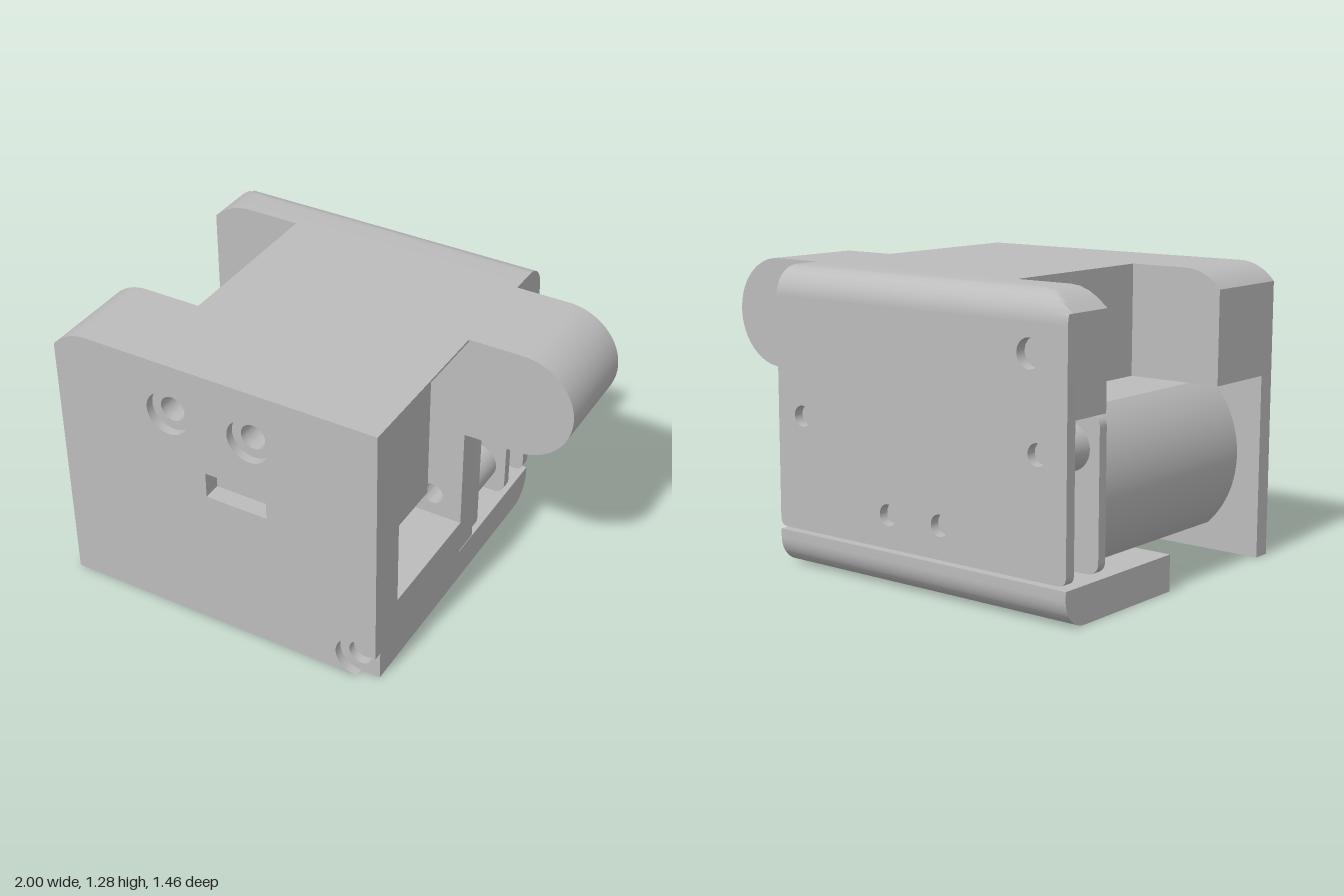
import * as THREE from 'three';
import { toCreasedNormals } from 'three/addons/utils/BufferGeometryUtils.js';

export function createModel() {
  const model = new THREE.Group();
  const grey = new THREE.MeshStandardMaterial({ color: 0xbcbcbc });
  grey.name = 'housing grey';

  function add(name, geometry) {
    const mesh = new THREE.Mesh(toCreasedNormals(geometry, 0.6), grey);
    mesh.name = name;
    model.add(mesh);
    return mesh;
  }
  // Box from its limits on each axis
  function box(name, x0, x1, y0, y1, z0, z1) {
    const g = new THREE.BoxGeometry(x1 - x0, y1 - y0, z1 - z0);
    g.translate((x0 + x1) / 2, (y0 + y1) / 2, (z0 + z1) / 2);
    return add(name, g);
  }
  // x-y outline extruded from z0 to z1
  function slab(name, shape, z0, z1) {
    const g = new THREE.ExtrudeGeometry(shape, { depth: z1 - z0, bevelEnabled: false, curveSegments: 20 });
    g.translate(0, 0, z0);
    return add(name, g);
  }
  // outline in (-z, y) extruded along the body width, with the top corner at -x rounded
  function beam(name, shape) {
    const g = new THREE.ExtrudeGeometry(shape, { depth: 1.52, steps: 36, bevelEnabled: false, curveSegments: 10 });
    g.rotateY(Math.PI / 2).translate(-1, 0, 0);
    const p = g.attributes.position;
    for (let i = 0; i < p.count; i++) {
      const t = Math.max(0, (-0.83 - p.getX(i)) / 0.17);
      p.setY(i, Math.min(p.getY(i), 1.28 - 0.08 * t * t));
    }
    return add(name, g);
  }
  function hole(shape, x, y, r) {
    const h = new THREE.Path();
    h.absarc(x, y, r, 0, Math.PI * 2, true);
    shape.holes.push(h);
  }
  function rod(name, x, y, r, z0, z1) {
    const g = new THREE.CylinderGeometry(r, r, z1 - z0, 32);
    g.rotateX(Math.PI / 2).translate(x, y, (z0 + z1) / 2);
    return add(name, g);
  }
  // Body outline above y0 with the rounded -x top corner
  function bodyOutline(y0, cutCorner = false) {
    const s = new THREE.Shape();
    s.moveTo(-1, y0);
    if (cutCorner) {
      s.lineTo(0.43, 0);
      s.absarc(0.43, 0.1, 0.1, -Math.PI / 2, 0.35, true);
    } else s.lineTo(0.52, y0);
    if (cutCorner) s.lineTo(0.52, 0.134);
    s.lineTo(0.52, 1.28);
    s.lineTo(-0.83, 1.28);
    s.quadraticCurveTo(-0.93, 1.28, -1, 1.2);
    s.closePath();
    return s;
  }
  // Rectangle with rounded corners
  function plateOutline(x0, x1, y0, y1, r) {
    const s = new THREE.Shape();
    s.absarc(x1 - r, y0 + r, r, -Math.PI / 2, 0);
    s.absarc(x1 - r, y1 - r, r, 0, Math.PI / 2);
    s.absarc(x0 + r, y1 - r, r, Math.PI / 2, Math.PI);
    s.absarc(x0 + r, y0 + r, r, Math.PI, Math.PI * 1.5);
    s.closePath();
    return s;
  }
  function windowCut(shape) {
    const w = new THREE.Path();
    w.moveTo(-0.28, 0.68);
    w.lineTo(-0.28, 0.8);
    w.lineTo(0.01, 0.8);
    w.lineTo(0.01, 0.68);
    w.closePath();
    shape.holes.push(w);
  }

  // Front wall: counterbored outer layer, drilled inner layer
  const outer = bodyOutline(0, true);
  const inner = bodyOutline(0);
  const upperFront = bodyOutline(0.8);
  for (const x of [-0.45, -0.065]) {
    hole(outer, x, 1.04, 0.1);
    hole(inner, x, 1.04, 0.057);
    hole(upperFront, x, 1.04, 0.057);
  }
  hole(inner, 0.43, 0.1, 0.057);
  windowCut(outer);
  windowCut(inner);
  slab('frontWallOuter', outer, 0.69, 0.73);
  slab('frontWallInner', inner, 0.65, 0.69);
  slab('upperFrontBlock', upperFront, 0.3, 0.65);

  // Side frame around the opening on the +x side
  box('sideFramePost', -0.08, 0.52, 0, 0.8, 0.545, 0.65);
  box('sideFrameSill', -0.08, 0.52, 0, 0.32, -0.03, 0.545);
  box('sideFrameLintel', -0.08, 0.52, 0.72, 0.8, 0.3, 0.545);
  const bulkhead = new THREE.Shape();
  bulkhead.moveTo(-0.08, 0.16);
  bulkhead.lineTo(0.52, 0.16);
  bulkhead.lineTo(0.52, 0.8);
  bulkhead.lineTo(-0.08, 0.8);
  bulkhead.closePath();
  hole(bulkhead, 0.38, 0.43, 0.05);
  slab('bulkhead', bulkhead, -0.155, -0.03);

  // Upper middle with a rounded pocket facing +x
  const pocket = new THREE.Shape();
  pocket.moveTo(-0.57, 0.8);
  pocket.lineTo(0.28, 0.8);
  pocket.absarc(0.28, 1.035, 0.235, -Math.PI / 2, Math.PI / 2, true);
  pocket.lineTo(0.52, 1.27);
  pocket.lineTo(0.52, 1.28);
  pocket.lineTo(-0.57, 1.28);
  pocket.closePath();
  slab('pocketBlock', pocket, -0.03, 0.3);

  // Upper block continuing into the rounded side lug
  const lug = new THREE.Shape();
  lug.moveTo(-0.57, 0.8);
  lug.lineTo(0.76, 0.8);
  lug.absarc(0.76, 1.04, 0.24, -Math.PI / 2, Math.PI / 2);
  lug.lineTo(-0.57, 1.28);
  lug.closePath();
  slab('sideLug', lug, -0.485, -0.03);

  // Rear block, rounded top edge and drilled back plate
  box('rearBlock', -1, 0.52, 0.8, 1.16, -0.68, -0.485);
  const cap = new THREE.Shape();
  cap.moveTo(0.485, 1.16);
  cap.lineTo(0.73, 1.16);
  cap.absarc(0.61, 1.16, 0.12, 0, Math.PI / 2);
  cap.lineTo(0.485, 1.28);
  cap.closePath();
  beam('rearTopEdge', cap);

  const standoffs = [[0.38, 0.66], [-0.86, 0.66], [-0.1, 0.31], [-0.375, 0.31]];
  const back = new THREE.Shape();
  back.moveTo(-0.96, 0.17);
  back.lineTo(0.48, 0.17);
  back.quadraticCurveTo(0.52, 0.17, 0.52, 0.21);
  back.lineTo(0.52, 1.16);
  back.lineTo(-1, 1.16);
  back.lineTo(-1, 0.21);
  back.quadraticCurveTo(-1, 0.17, -0.96, 0.17);
  for (const [x, y] of standoffs) hole(back, x, y, 0.045);
  hole(back, -0.82, 1.04, 0.06);
  slab('backPlate', back, -0.73, -0.68);

  // Inner plates and the standoffs between them
  slab('middlePlate', plateOutline(-1, 0.52, 0.17, 0.8, 0.05), -0.525, -0.48);
  slab('innerPlate', plateOutline(-0.08, 0.52, 0.17, 0.8, 0.05), -0.205, -0.155);
  for (const [x, y] of standoffs) rod('standoff', x, y, 0.095, -0.685, -0.52);
  for (const [x, y] of [[0.38, 0.66], [0.38, 0.31]]) rod('innerStandoff', x, y, 0.095, -0.485, -0.2);

  // Base plate with a rounded rear edge
  const base = new THREE.Shape();
  base.moveTo(0.03, 0);
  base.lineTo(0.61, 0);
  base.absarc(0.61, 0.12, 0.12, -Math.PI / 2, 0);
  base.lineTo(0.73, 0.155);
  base.lineTo(0.03, 0.155);
  base.closePath();
  beam('basePlate', base);

  // Motor: round can with flattened top and bottom, and a front boss
  const can = new THREE.Shape();
  const flat = Math.asin(0.315 / 0.43);
  can.absarc(-0.565, 0.485, 0.43, -flat, flat);
  can.absarc(-0.565, 0.485, 0.43, Math.PI - flat, Math.PI + flat);
  can.closePath();
  slab('motorCan', can, -0.48, 0.475);
  rod('motorBoss', -0.565, 0.485, 0.155, 0.475, 0.65);

  return model;
}
